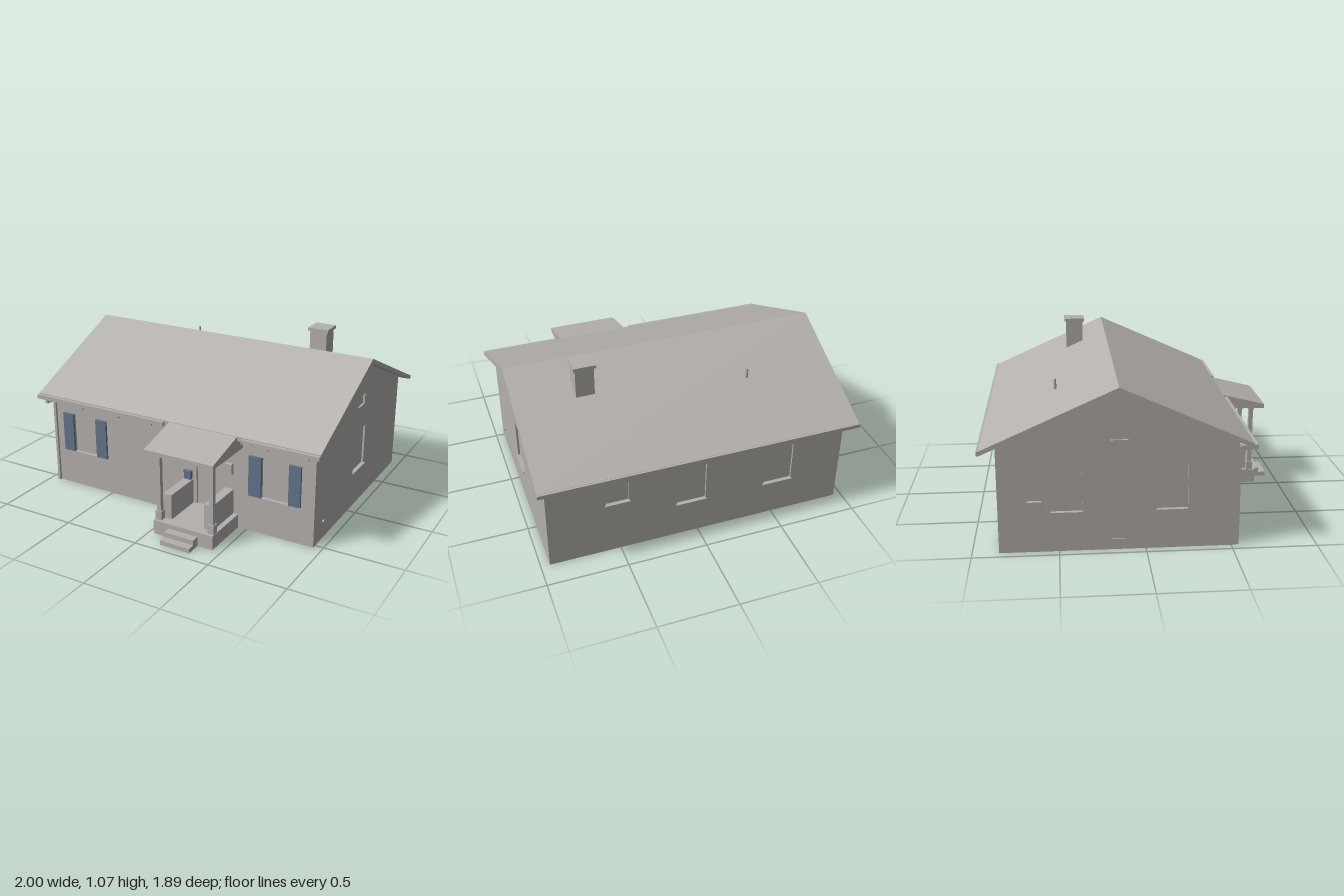
import * as THREE from 'three';

const grey = new THREE.MeshStandardMaterial({ color: 0xb4b0ac, side: THREE.DoubleSide });
grey.name = 'warm grey';
const blue = new THREE.MeshStandardMaterial({ color: 0x64748b });
blue.name = 'slate blue';

const T = 0.016; // wall thickness
const X0 = -0.95, X1 = 0.945, Z0 = -0.845, Z1 = 0.53, RIDGE = -0.155;
const under = z => 0.95 - 0.44 * Math.abs(z - RIDGE); // underside of the roof

// Box given by its limits on each axis
function box(parent, name, x0, x1, y0, y1, z0, z1, mat = grey) {
  const m = new THREE.Mesh(new THREE.BoxGeometry(x1 - x0, y1 - y0, z1 - z0), mat);
  m.position.set((x0 + x1) / 2, (y0 + y1) / 2, (z0 + z1) / 2);
  m.name = name;
  parent.add(m);
  return m;
}

// Upright rod or pipe
function rod(parent, name, r, x, y0, y1, z) {
  const m = new THREE.Mesh(new THREE.CylinderGeometry(r, r, y1 - y0, 12), grey);
  m.position.set(x, (y0 + y1) / 2, z);
  m.name = name;
  parent.add(m);
  return m;
}

const outline = pts => new THREE.Shape(pts.map(p => new THREE.Vector2(...p)));

// Cross-section in (z, y) drawn out along x
function extrudeX(parent, name, pts, x0, x1) {
  const g = new THREE.ExtrudeGeometry(outline(pts), { depth: x1 - x0, bevelEnabled: false });
  g.rotateY(-Math.PI / 2).translate(x1, 0, 0);
  const m = new THREE.Mesh(g, grey);
  m.name = name;
  parent.add(m);
}

// Wall with recessed openings; each is [name, u0, u1, v0, v1]
function wall(parent, name, pts, openings, angle, x, z) {
  const group = new THREE.Group();
  group.name = name;
  const shape = outline(pts);
  for (const [kind, a, b, c, d] of openings) {
    shape.holes.push(new THREE.Path([[a, c], [b, c], [b, d], [a, d]].map(p => new THREE.Vector2(...p))));
    box(group, kind + 'Pane', a, b, c, d, 0, 0.003);
    if (kind === 'window') box(group, 'windowSill', a - 0.005, b + 0.005, c - 0.01, c, T, T + 0.012);
  }
  const m = new THREE.Mesh(new THREE.ExtrudeGeometry(shape, { depth: T, bevelEnabled: false }), grey);
  m.name = name + 'Panel';
  group.add(m);
  group.rotation.y = angle;
  group.position.set(x, 0, z);
  parent.add(group);
}

export function createModel() {
  const house = new THREE.Group();
  house.name = 'house';

  // Hollow walls, open underneath
  const rect = (a, b, h) => [[a, 0], [b, 0], [b, h], [a, h]];
  wall(house, 'frontWall', rect(X0, X1, under(Z1)), [
    ['window', -0.785, -0.605, 0.243, 0.505],
    ['window', 0.6, 0.78, 0.243, 0.505],
    ['door', 0.15, 0.325, 0.09, 0.45],
  ], 0, 0, Z1 - T);
  wall(house, 'backWall', rect(-X1, -X0, under(Z0)), [
    ['window', -0.585, -0.442, 0.365, 0.505],
    ['window', -0.14, 0.045, 0.243, 0.505],
    ['window', 0.432, 0.617, 0.243, 0.505],
  ], Math.PI, 0, Z0 + T);
  const gable = s => [[s * Z0, 0], [s * Z1, 0], [s * Z1, under(Z1)], [s * RIDGE, 0.952], [s * Z0, under(Z0)]];
  wall(house, 'leftWall', gable(-1), [
    ['window', 0.062, 0.242, 0.243, 0.505],
    ['vent', 0.1, 0.205, 0.665, 0.735],
  ], Math.PI / 2, X1 - T, 0);
  wall(house, 'rightWall', gable(1), [
    ['window', -0.545, -0.365, 0.243, 0.505],
    ['window', 0.062, 0.242, 0.243, 0.505],
    ['vent', -0.205, -0.1, 0.665, 0.735],
  ], -Math.PI / 2, X0 + T, 0);

  // Shutters
  for (const [a, b] of [[-0.865, -0.785], [-0.605, -0.523], [0.516, 0.6], [0.78, 0.857]])
    box(house, 'shutter', a, b, 0.243, 0.505, Z1, Z1 + 0.014, blue);

  // Main roof, gutters and brackets
  extrudeX(house, 'roof', [[0.605, 0.64], [RIDGE, 0.982], [-0.932, 0.636],
    [-0.932, 0.609], [RIDGE, 0.95], [0.605, 0.612]], -1, 1);
  box(house, 'frontGutter', -1, -0.03, 0.608, 0.635, 0.605, 0.628);
  box(house, 'frontGutter', 0.505, 1, 0.608, 0.635, 0.605, 0.628);
  box(house, 'backGutter', -1, 1, 0.61, 0.635, -0.945, -0.932);
  for (const x of [-0.92, -0.66, -0.38, -0.135, 0.66, 0.92])
    box(house, 'eaveBracket', x - 0.006, x + 0.006, 0.585, 0.61, Z1, 0.605);

  // Downspout with its elbow
  box(house, 'downspout', -0.942, -0.924, 0, 0.6, Z1, 0.545);
  box(house, 'downspoutElbow', -0.942, -0.924, 0.583, 0.61, 0.54, 0.62);

  // Chimney and vent pipe
  box(house, 'chimney', 0.51, 0.625, 0.82, 1.05, -0.422, -0.308);
  box(house, 'chimneyCap', 0.498, 0.636, 1.05, 1.07, -0.433, -0.297);
  rod(house, 'ventPipe', 0.008, -0.433, 0.8, 0.888, -0.505);

  // Porch
  const porch = new THREE.Group();
  porch.name = 'porch';
  house.add(porch);
  extrudeX(porch, 'porchRoof', [[Z1, 0.54], [0.887, 0.54], [0.887, 0.566], [0.605, 0.637], [Z1, 0.637]], 0.005, 0.47);
  box(porch, 'porchFloor', 0.033, 0.443, 0, 0.09, Z1, 0.846);
  box(porch, 'lowerStep', 0.14, 0.342, 0, 0.029, 0.846, 0.945);
  box(porch, 'upperStep', 0.14, 0.342, 0.029, 0.06, 0.846, 0.897);
  for (const s of [-1, 1]) {
    const x = 0.239 + s * 0.181;
    box(porch, 'postBase', x - 0.021, x + 0.021, 0.09, 0.148, 0.787, 0.829);
    box(porch, 'post', x - 0.014, x + 0.014, 0.148, 0.522, 0.794, 0.822);
    box(porch, 'postCap', x - 0.02, x + 0.02, 0.52, 0.54, 0.788, 0.828);
    const w = 0.239 + s * 0.142;
    box(porch, 'sideHalfWall', w - 0.029, w + 0.029, 0.09, 0.252, Z1, 0.787);
  }

  // Mailbox and porch lamp beside the door
  box(porch, 'mailbox', 0.07, 0.118, 0.252, 0.302, Z1, 0.55, blue);
  box(porch, 'mailboxLid', 0.067, 0.121, 0.3, 0.31, Z1, 0.555, blue);
  box(porch, 'porchLamp', 0.363, 0.408, 0.355, 0.423, Z1, 0.556);

  // Meter box, low vent and tap on the side walls
  box(house, 'meterBox', -0.973, X0, 0.24, 0.315, -0.68, -0.595);
  box(house, 'lowVent', -0.957, X0, 0.03, 0.067, -0.2, -0.12);
  rod(house, 'tap', 0.009, 0.95, -0.006, 0.006, 0.4).rotation.z = Math.PI / 2;
  house.getObjectByName('tap').position.y = 0.118;

  return house;
}
